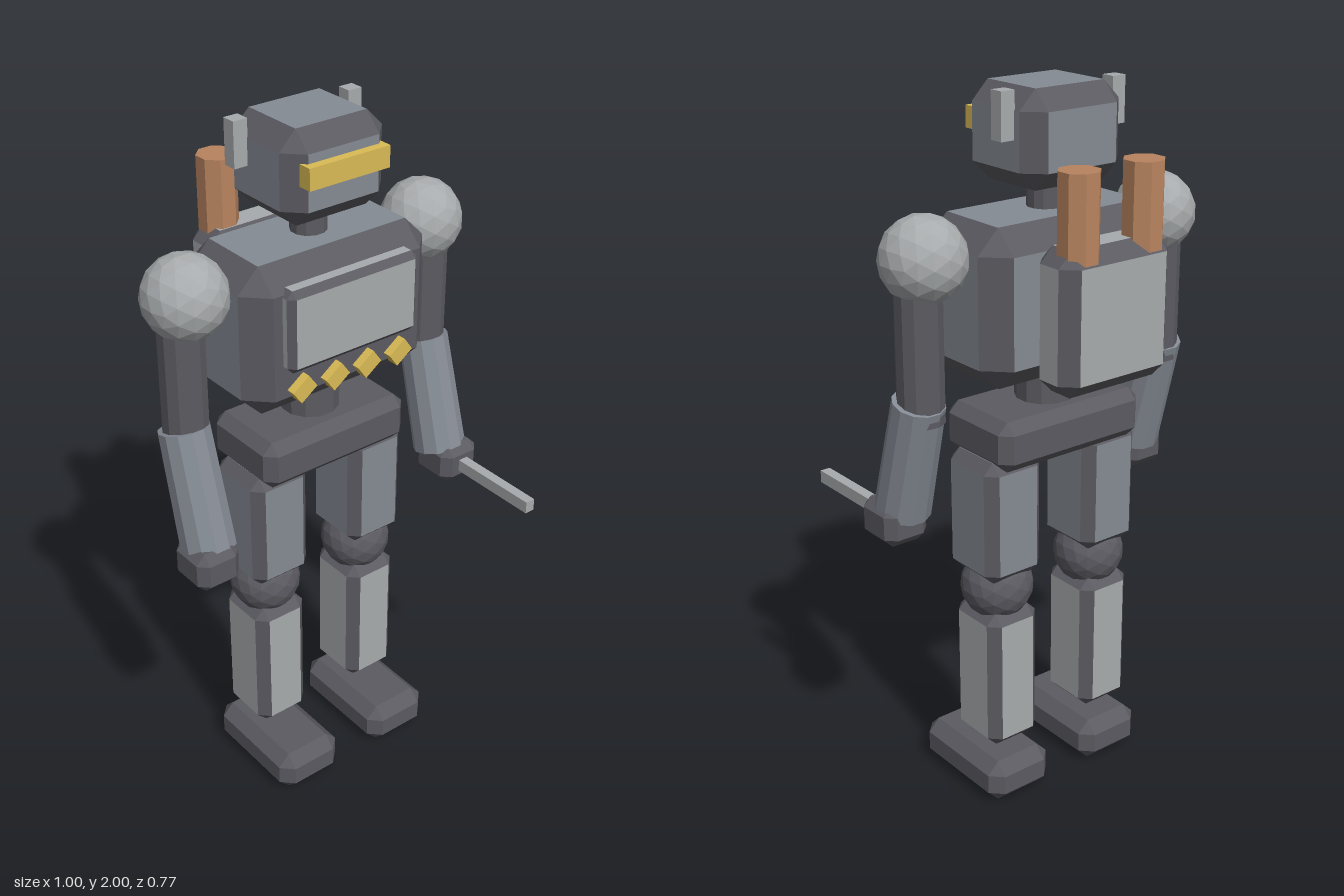
import * as THREE from 'three';

const mat = (color) => new THREE.MeshStandardMaterial({ color, flatShading: true });
const dark = mat(0x5c5b62), steel = mat(0x858b94), light = mat(0xa8abad);
const brass = mat(0xd9bb55), copper = mat(0xb8845f);

// Triangles of a convex, origin-centred solid, turned to face outward
function facets(polys) {
  const pos = [];
  for (const p of polys) {
    for (let i = 1; i < p.length - 1; i++) {
      const t = [p[0], p[i], p[i + 1]];
      const n = t[1].clone().sub(t[0]).cross(t[2].clone().sub(t[0]));
      if (n.dot(t[0]) < 0) t.reverse();
      t.forEach((v) => pos.push(v.x, v.y, v.z));
    }
  }
  const g = new THREE.BufferGeometry();
  g.setAttribute('position', new THREE.Float32BufferAttribute(pos, 3));
  g.computeVertexNormals();
  return g;
}

// Chamfered box from min and max corners: panels in one colour, bevels in dark trim
function bevelBox(name, min, max, c, material, darkFront = false) {
  const lo = new THREE.Vector3(...min), hi = new THREE.Vector3(...max);
  const h = hi.clone().sub(lo).multiplyScalar(0.5).toArray();
  // corner point lying on the panel across the given axis
  const pt = (s, axis) => new THREE.Vector3(...s.map((v, i) => v * (i === axis ? h[i] : h[i] - c)));
  const panels = [], bevels = [];
  for (let a = 0; a < 3; a++) {
    const b = (a + 1) % 3, d = (a + 2) % 3;
    const corner = (sa, sb, sd) => {
      const s = [0, 0, 0];
      s[a] = sa; s[b] = sb; s[d] = sd;
      return s;
    };
    for (const s of [-1, 1]) {
      const ring = [[-1, -1], [1, -1], [1, 1], [-1, 1]].map(([u, v]) => pt(corner(s, u, v), a));
      (darkFront && a === 2 && s === 1 ? bevels : panels).push(ring);
      for (const t of [-1, 1]) {
        const p = corner(s, t, -1), q = corner(s, t, 1);
        bevels.push([pt(p, a), pt(q, a), pt(q, b), pt(p, b)]);
      }
    }
  }
  for (const x of [-1, 1]) for (const y of [-1, 1]) for (const z of [-1, 1]) {
    bevels.push([0, 1, 2].map((a) => pt([x, y, z], a)));
  }
  const group = new THREE.Group();
  group.name = name;
  const faces = new THREE.Mesh(facets(panels), material);
  faces.name = name + 'Panels';
  const trim = new THREE.Mesh(facets(bevels), dark);
  trim.name = name + 'Bevels';
  group.add(faces, trim);
  group.position.copy(lo.add(hi).multiplyScalar(0.5));
  return group;
}

function part(name, geometry, material, x, y, z) {
  const m = new THREE.Mesh(geometry, material);
  m.name = name;
  m.position.set(x, y, z);
  return m;
}

const box = (name, w, h, d, material, x, y, z) =>
  part(name, new THREE.BoxGeometry(w, h, d), material, x, y, z);

// Tapered cylinder running between two points
function limb(name, from, to, r0, r1, sides, material) {
  const a = new THREE.Vector3(...from), b = new THREE.Vector3(...to);
  const dir = b.clone().sub(a);
  const g = new THREE.CylinderGeometry(r1, r0, dir.length(), sides);
  g.rotateY(Math.PI / sides);
  const m = part(name, g, material, 0, 0, 0);
  m.position.copy(a).add(b).multiplyScalar(0.5);
  m.quaternion.setFromUnitVectors(new THREE.Vector3(0, 1, 0), dir.normalize());
  return m;
}

export function createModel() {
  const model = new THREE.Group();
  model.name = 'robot';
  const Z = -0.075;

  // Head, visor and neck
  model.add(
    bevelBox('head', [-0.16, 1.75, -0.22], [0.16, 2, 0.07], 0.05, steel),
    box('visor', 0.25, 0.058, 0.05, brass, 0, 1.897, 0.07),
    limb('neck', [0, 1.64, Z], [0, 1.78, Z], 0.05, 0.05, 12, dark),
  );

  // Torso, chest plate, waist and pelvis
  model.add(
    bevelBox('torso', [-0.3, 1.26, -0.245], [0.3, 1.68, 0.092], 0.063, steel, true),
    bevelBox('chestPlate', [-0.21, 1.4, 0.06], [0.21, 1.63, 0.127], 0.018, light),
    limb('waist', [0, 1.12, Z], [0, 1.3, Z], 0.082, 0.082, 12, dark),
    bevelBox('pelvis', [-0.24, 1.02, -0.21], [0.24, 1.16, 0.063], 0.03, dark),
  );

  // Row of tilted chest buttons
  for (const x of [-0.16, -0.053, 0.053, 0.16]) {
    const button = box('chestButton', 0.062, 0.046, 0.035, brass, x, 1.345, 0.1);
    button.rotation.z = 0.62;
    model.add(button);
  }

  // Backpack
  model.add(bevelBox('backpack', [-0.18, 1.26, -0.385], [0.18, 1.64, -0.235], 0.04, light));

  for (const s of [-1, 1]) {
    const side = s > 0 ? 'left' : 'right';
    const mirrored = (name, x0, x1, y0, y1, z0, z1, c, m) => bevelBox(side + name,
      [Math.min(s * x0, s * x1), y0, z0], [Math.max(s * x0, s * x1), y1, z1], c, m);

    // Antenna and exhaust
    model.add(
      box(side + 'Antenna', 0.042, 0.122, 0.04, light, s * 0.179, 1.939, -0.13),
      limb(side + 'Exhaust', [s * 0.105, 1.58, -0.33], [s * 0.105, 1.83, -0.33], 0.055, 0.055, 8, copper),
    );

    // Arm
    model.add(
      part(side + 'Shoulder', new THREE.IcosahedronGeometry(0.115, 2), light, s * 0.386, 1.603, Z),
      limb(side + 'UpperArm', [s * 0.405, 1.18, Z], [s * 0.405, 1.6, Z], 0.063, 0.063, 12, dark),
      limb(side + 'Forearm', [s * 0.411, 0.905, 0.015], [s * 0.411, 1.235, Z], 0.077, 0.071, 12, steel),
      mirrored('Hand', 0.36, 0.493, 0.82, 0.937, -0.042, 0.104, 0.026, dark),
    );

    // Leg
    model.add(
      mirrored('Thigh', 0.075, 0.262, 0.685, 1.04, -0.175, 0.03, 0.03, steel),
      part(side + 'Knee', new THREE.IcosahedronGeometry(0.102, 2), dark, s * 0.167, 0.64, Z),
      mirrored('Shin', 0.083, 0.252, 0.165, 0.585, -0.168, 0.02, 0.03, light),
      mirrored('Foot', 0.063, 0.273, 0, 0.127, -0.2, 0.157, 0.035, dark),
    );
  }

  // Rod held in the left hand
  model.add(box('rod', 0.03, 0.036, 0.36, light, 0.425, 0.878, 0.203));

  return model;
}
